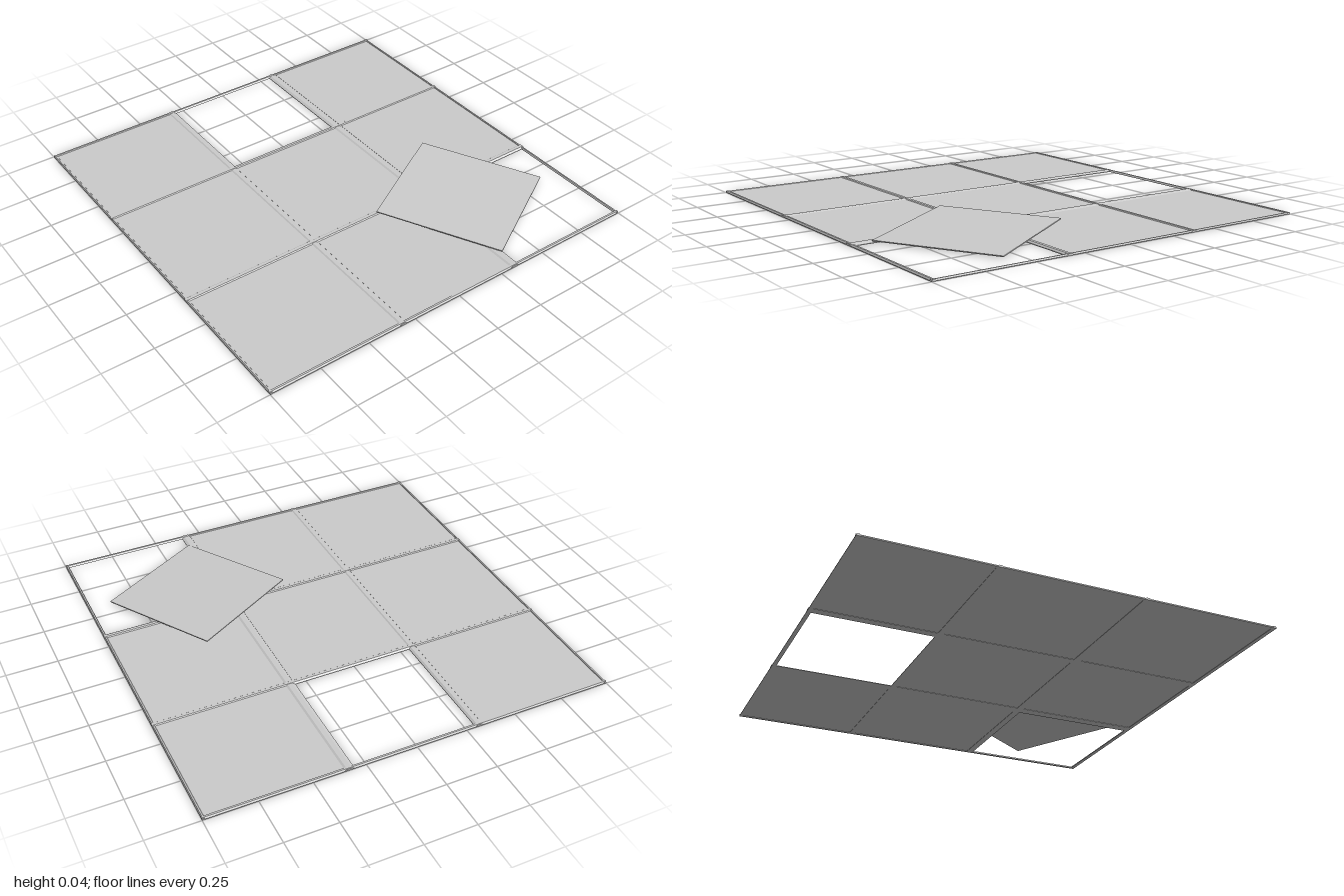
import * as THREE from 'three';

export function createModel() {
  const group = new THREE.Group();
  group.name = 'tileGrid';
  const material = new THREE.MeshStandardMaterial({ color: 0xcccccc, flatShading: true });

  const add = (geometry, name, x, y, z) => {
    const mesh = new THREE.Mesh(geometry, material);
    mesh.name = name;
    mesh.position.set(x, y, z);
    group.add(mesh);
    return mesh;
  };

  // Extents of the bars across the grid, in x and in z
  const barsX = [[-1, -0.98], [-0.39, -0.36], [0.31, 0.345], [0.98, 1]];
  const barsZ = [[-1, -0.985], [-0.355, -0.305], [0.295, 0.335], [0.985, 1]];

  // Grid bar with a flat foot and a slightly sloped raised top
  const barGeometry = (width, height) => {
    const w = width / 2;
    const shape = new THREE.Shape();
    shape.moveTo(-w, 0);
    shape.lineTo(w, 0);
    shape.lineTo(w, 0.003);
    shape.lineTo(w * 0.45, height);
    shape.lineTo(-w * 0.45, height);
    shape.lineTo(-w, 0.003);
    shape.closePath();
    return new THREE.ExtrudeGeometry(shape, { depth: 2, bevelEnabled: false }).translate(0, 0, -1);
  };
  barsX.forEach(([a, b], i) => {
    const name = i % 3 ? 'mainBar' : 'sideEdge';
    add(barGeometry(b - a, 0.01), name, (a + b) / 2, 0, 0);
  });
  barsZ.forEach(([a, b], i) => {
    const name = i % 3 ? 'crossBar' : 'endEdge';
    add(barGeometry(b - a, 0.009).rotateY(Math.PI / 2), name, 0, 0, (a + b) / 2);
  });

  // Tiles resting in the bays; two bays stay open
  const open = ['0,1', '2,0'];
  const lap = 0.004;
  for (let i = 0; i < 3; i++) {
    for (let j = 0; j < 3; j++) {
      if (open.includes(`${i},${j}`)) continue;
      const [x0, x1] = [barsX[i][1], barsX[i + 1][0]];
      const [z0, z1] = [barsZ[j][1], barsZ[j + 1][0]];
      const tile = new THREE.BoxGeometry(x1 - x0 + 2 * lap, 0.004, z1 - z0 + 2 * lap);
      add(tile, 'tile', (x0 + x1) / 2, 0.004, (z0 + z1) / 2);
    }
  }

  // Loose tile, turned and tilted across its open bay
  const loose = add(new THREE.BoxGeometry(0.627, 0.005, 0.62), 'looseTile', 0.468, 0.0235, -0.46);
  loose.rotation.set(0, Math.PI / 6, -0.041, 'YXZ');

  return group;
}
